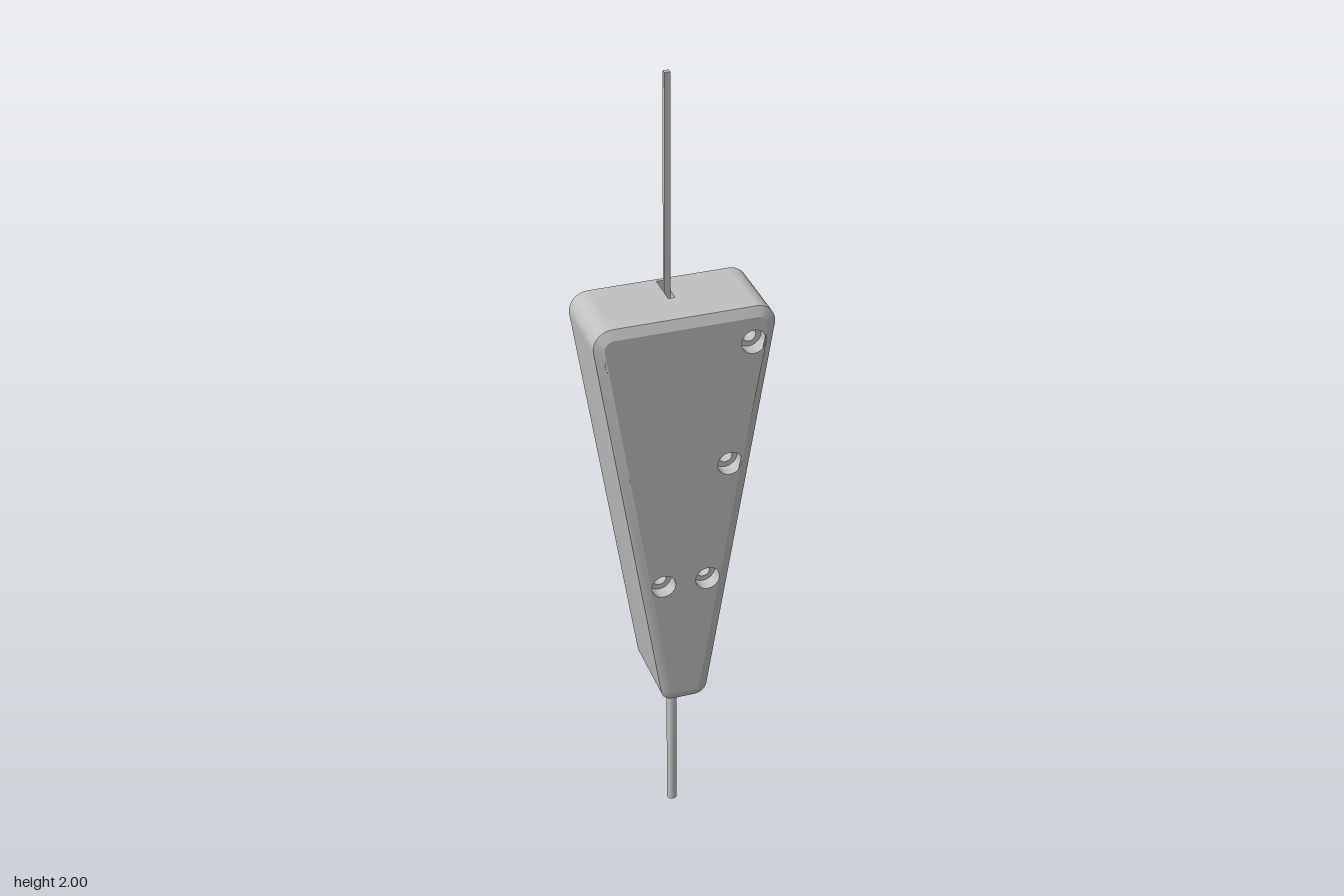
import * as THREE from 'three';
import { toCreasedNormals } from 'three/addons/utils/BufferGeometryUtils.js';

const TOP = 1.465, BOTTOM = 0.398, HALF = 0.106, CHAMFER_Z = 0.012, INSET = 0.023;
const SLOPE = 0.157, LEAN = Math.atan(SLOPE), STEPS = 9;
const HOLES = [[0.16, 1.38], [0.107, 1.065], [0.055, 0.75]]
  .flatMap(([x, y]) => [[x, y], [-x, y]]);
const BORE = 0.017, SCREW = 0.03, NUT = 0.028, POCKET = 0.035;

// Rounded, tapering outline, counter-clockwise, shrunk by an inset
function outline(inset) {
  const pts = [];
  const arc = (side, cy, r, from, to) => {
    const cx = 0.054 + SLOPE * (cy - BOTTOM) - r / Math.cos(LEAN);
    for (let i = 0; i <= STEPS; i++) {
      const t = from + (to - from) * i / STEPS;
      pts.push(new THREE.Vector2(side * (cx + (r - inset) * Math.cos(t)), cy + (r - inset) * Math.sin(t)));
    }
  };
  const q = Math.PI / 2, rt = 0.045, rb = 0.03;
  arc(1, BOTTOM + rb, rb, -q, -LEAN);
  arc(1, TOP - rt, rt, -LEAN, q);
  arc(-1, TOP - rt, rt, q, -LEAN);
  arc(-1, BOTTOM + rb, rb, -LEAN, -q);
  return pts;
}

// Regular polygon, used for round bores and hexagonal recesses
const polygon = (r, n, x = 0, y = 0) => Array.from({ length: n }, (_, i) => {
  const t = i / n * Math.PI * 2;
  return new THREE.Vector2(x + r * Math.sin(t), y + r * Math.cos(t));
});

// Side wall and both chamfers; the flat top is left open for its slotted panel
function shellGeometry(outer, inner) {
  const rings = [[inner, -HALF], [outer, -HALF + CHAMFER_Z], [outer, HALF - CHAMFER_Z], [inner, HALF]];
  const n = outer.length, pos = [], idx = [], topEdge = 2 * (STEPS + 1) - 1;
  for (const [pts, z] of rings) for (const p of pts) pos.push(p.x, p.y, z);
  for (let k = 0; k < 3; k++) for (let i = 0; i < n; i++) {
    if (k === 1 && i === topEdge) continue;
    const a = k * n + i, b = k * n + (i + 1) % n;
    idx.push(a, b, b + n, a, b + n, a + n);
  }
  const g = new THREE.BufferGeometry();
  g.setAttribute('position', new THREE.Float32BufferAttribute(pos, 3));
  g.setIndex(idx);
  return toCreasedNormals(g, 0.4);
}

export function createModel() {
  const model = new THREE.Group();
  model.name = 'taperedHandle';
  const grey = new THREE.MeshStandardMaterial({ color: 0xc0c0c0, side: THREE.DoubleSide });
  grey.name = 'light grey';
  const add = (name, geometry, x = 0, y = 0, z = 0, parent = model) => {
    const m = new THREE.Mesh(geometry, grey);
    m.name = name;
    m.position.set(x, y, z);
    parent.add(m);
    return m;
  };

  // Body shell and pierced faces
  const outer = outline(0), inner = outline(INSET);
  add('bodyShell', shellGeometry(outer, inner));
  const face = (r, n) => {
    const s = new THREE.Shape(inner);
    for (const [x, y] of HOLES) s.holes.push(new THREE.Path(polygon(r, n, x, y)));
    return new THREE.ShapeGeometry(s);
  };
  add('frontFace', face(SCREW, 24), 0, 0, HALF);
  add('backFace', face(NUT, 6).rotateY(Math.PI), 0, 0, -HALF);

  // Bolt holes: round recess in front, hexagonal recess behind, bore between
  const tube = (r, n, length) =>
    toCreasedNormals(new THREE.CylinderGeometry(r, r, length, n, 1, true).rotateX(Math.PI / 2), 0.4);
  const floor = (r, n) => {
    const s = new THREE.Shape(polygon(r, n));
    s.holes.push(new THREE.Path(polygon(BORE, 24)));
    return new THREE.ShapeGeometry(s);
  };
  const parts = [
    ['screwRecess', tube(SCREW, 24, POCKET), HALF - POCKET / 2],
    ['screwSeat', floor(SCREW, 24), HALF - POCKET],
    ['bore', tube(BORE, 24, 2 * (HALF - POCKET)), 0],
    ['nutSeat', floor(NUT, 6).rotateY(Math.PI), -HALF + POCKET],
    ['nutRecess', tube(NUT, 6, POCKET), -HALF + POCKET / 2],
  ];
  for (const [x, y] of HOLES) {
    const hole = new THREE.Group();
    hole.name = 'boltHole';
    hole.position.set(x, y, 0);
    for (const [name, g, z] of parts) add(name, g, 0, 0, z, hole);
    model.add(hole);
  }

  // Top panel with a narrow slot
  const w = outer[2 * (STEPS + 1) - 1].x, d = HALF - CHAMFER_Z, slotW = 0.008, slotL = 0.085;
  const rect = (x, y0, y1) => [[-x, y0], [x, y0], [x, y1], [-x, y1]].map(p => new THREE.Vector2(...p));
  const panel = new THREE.Shape(rect(w, -d, d));
  panel.holes.push(new THREE.Path(rect(slotW, 0, slotL)));
  add('topPanel', new THREE.ShapeGeometry(panel).rotateX(-Math.PI / 2), 0, TOP, 0);

  // Slot walls and floor (a box without its lid)
  const slotDepth = 0.2;
  const slot = new THREE.BoxGeometry(slotW * 2, slotDepth, slotL);
  const ix = Array.from(slot.index.array);
  slot.setIndex([...ix.slice(0, 12), ...ix.slice(18)]);
  add('slot', slot, 0, TOP - slotDepth / 2, -slotL / 2);

  // Thin upper blade and round lower rod
  const bladeBase = TOP - slotDepth;
  add('upperBlade', new THREE.BoxGeometry(0.014, 2 - bladeBase, 0.012), 0, (2 + bladeBase) / 2, -0.035);
  add('lowerRod', new THREE.CylinderGeometry(0.0125, 0.0125, 0.42, 24), 0, 0.21, 0);
  return model;
}
